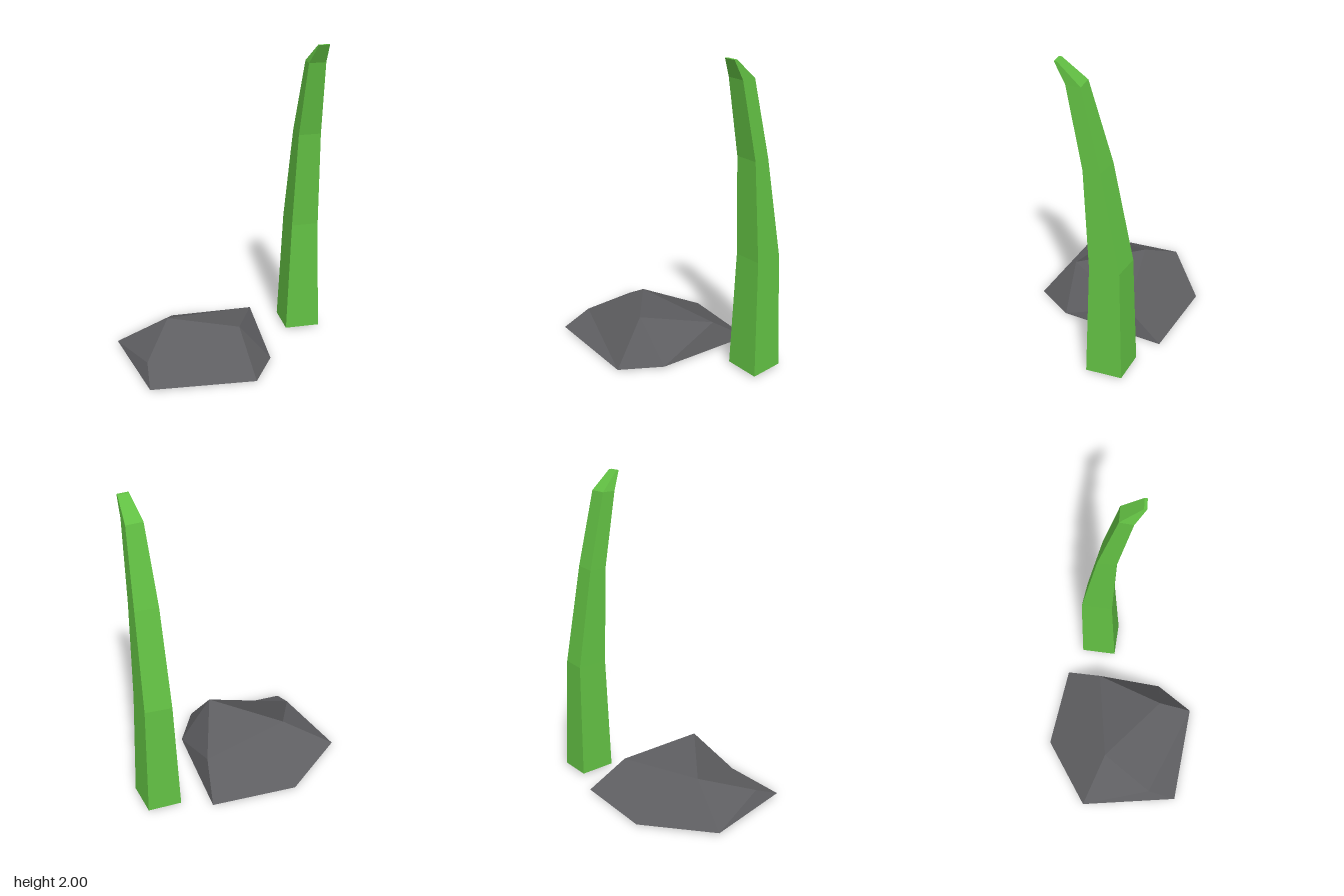
import * as THREE from 'three';

const green = new THREE.MeshStandardMaterial({ color: 0x62c043 });
green.name = 'leafGreen';
const grey = new THREE.MeshStandardMaterial({ color: 0x5e5e61 });
grey.name = 'stoneGrey';

// Fans each polygon into triangles and gives it one flat normal (Newell's rule).
function facetedMesh(name, corners, faces, material) {
  const pts = corners.map(c => new THREE.Vector3(...c));
  const positions = [], normals = [];
  for (const face of faces) {
    const n = new THREE.Vector3();
    face.forEach((a, i) => {
      const b = face[(i + 1) % face.length];
      n.add(new THREE.Vector3().crossVectors(pts[a], pts[b]));
    });
    n.normalize();
    for (let i = 1; i < face.length - 1; i++) {
      for (const k of [face[0], face[i], face[i + 1]]) {
        positions.push(...pts[k].toArray());
        normals.push(...n.toArray());
      }
    }
  }
  const geometry = new THREE.BufferGeometry();
  geometry.setAttribute('position', new THREE.Float32BufferAttribute(positions, 3));
  geometry.setAttribute('normal', new THREE.Float32BufferAttribute(normals, 3));
  const mesh = new THREE.Mesh(geometry, material);
  mesh.name = name;
  return mesh;
}

// Angular stone: six base corners, then four upper corners
function makeStone() {
  const corners = [
    [-0.67, 0.02, -0.02], [-0.355, 0.01, -0.425], [0.185, 0.005, -0.53],
    [0.35, 0.015, 0.12], [0.27, 0.01, 0.40], [-0.375, 0.012, 0.55],
    [-0.33, 0.215, 0], [0.15, 0.28, 0.205], [0.2, 0.17, -0.28], [-0.415, 0.095, 0.37],
  ];
  const faces = [
    [0, 1, 2, 3, 4, 5],                 // underside
    [1, 0, 6, 8, 2], [6, 7, 8],         // back slope and top
    [0, 9, 6], [0, 5, 9],               // pointed end
    [9, 5, 4], [9, 4, 7, 6],            // front
    [7, 4, 3], [7, 3, 8], [8, 3, 2],    // far end
  ];
  return facetedMesh('stone', corners, faces, grey);
}

// Grass blade: four-sided rings from root to tip, bending forward
function makeBlade() {
  const rings = [ // height, then x,z of front left, front right, back right, back left
    [0.02, [0.45, -0.28], [0.67, -0.345], [0.59, -0.555], [0.385, -0.505]],
    [0.77, [0.47, -0.30], [0.64, -0.355], [0.577, -0.527], [0.413, -0.495]],
    [1.40, [0.495, -0.27], [0.635, -0.315], [0.60, -0.413], [0.46, -0.385]],
    [1.88, [0.54, -0.18], [0.645, -0.215], [0.62, -0.30], [0.52, -0.265]],
    [2.00, [0.595, -0.128], [0.66, -0.153], [0.655, -0.17], [0.59, -0.145]],
  ];
  const corners = rings.flatMap(([y, ...ring]) => ring.map(([x, z]) => [x, y, z]));
  const last = corners.length - 4;
  const faces = [[3, 2, 1, 0], [last, last + 1, last + 2, last + 3]];
  for (let r = 0; r < last; r += 4) {
    for (let i = 0; i < 4; i++) {
      const j = (i + 1) % 4;
      faces.push([r + i, r + j, r + 4 + j, r + 4 + i]);
    }
  }
  return facetedMesh('grassBlade', corners, faces, green);
}

export function createModel() {
  const model = new THREE.Group();
  model.name = 'stoneAndGrass';
  model.add(makeStone(), makeBlade());
  return model;
}
